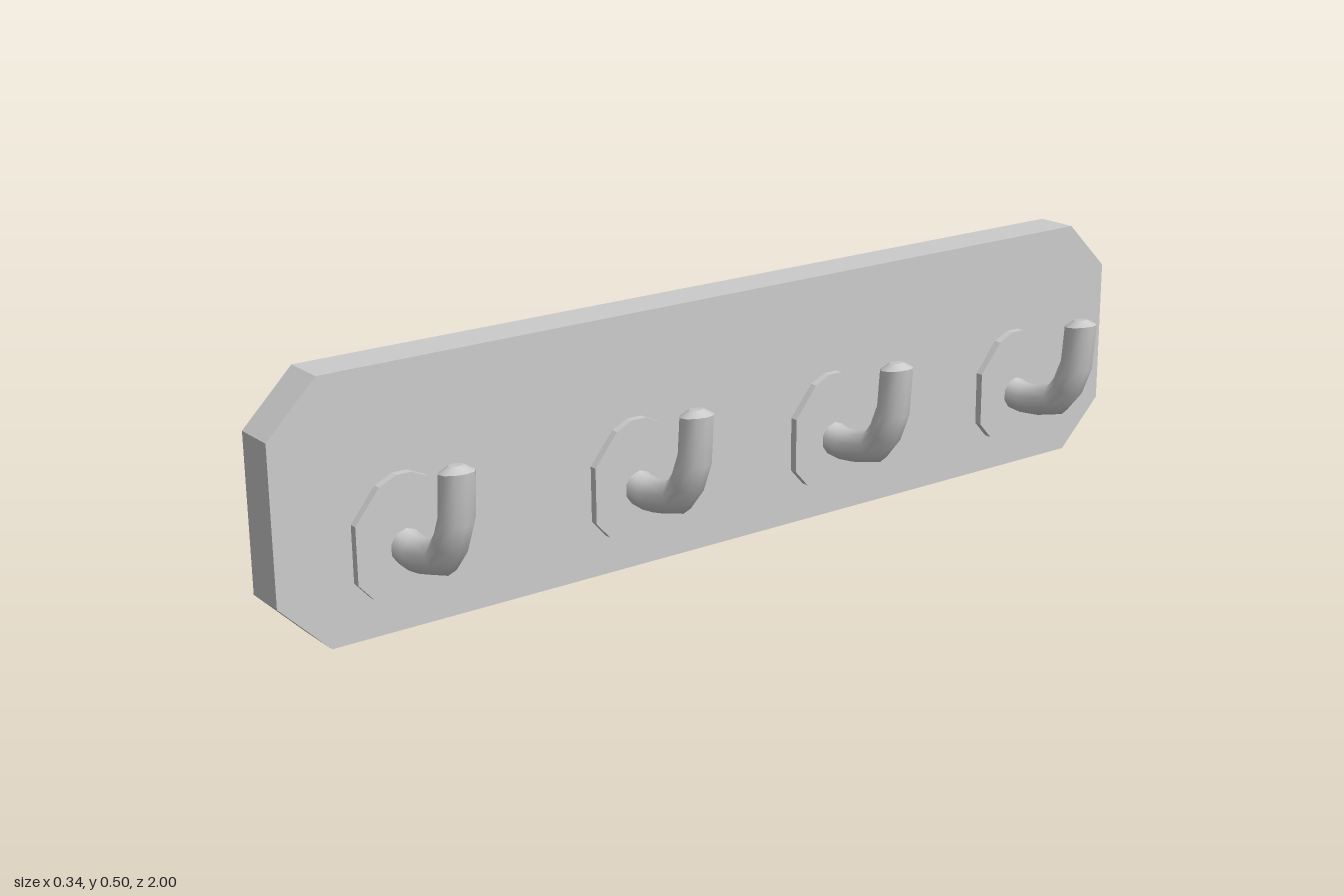
import * as THREE from 'three';

const material = new THREE.MeshStandardMaterial({ color: 0xcccccc });
const SIDES = 10;
const RADIUS = 0.033;
const END_TILT = 0.137;

// Hook centreline in (x, y), from behind the board out to the raised tip
const hookPath = [
  [-0.122, 0.332], [-0.14, 0.26], [-0.105, 0.195], [-0.07, 0.172], [-0.04, 0.162], [-0.01, 0.16],
  [0.02, 0.164], [0.078, 0.179], [0.11, 0.217], [0.132, 0.268], [0.1395, 0.3535],
].map(([x, y]) => new THREE.Vector2(x, y));

// Flat outline in (z, y), extruded along +x from x0
function slab(name, points, x0, depth) {
  const shape = new THREE.Shape(points.map(([z, y]) => new THREE.Vector2(z, y)));
  const geometry = new THREE.ExtrudeGeometry(shape, { depth, bevelEnabled: false });
  geometry.rotateY(Math.PI / 2).translate(x0, 0, 0);
  const mesh = new THREE.Mesh(geometry, material);
  mesh.name = name;
  return mesh;
}

// Round bar swept along the planar path, one ring per point
function bentRod(path) {
  const positions = [], index = [];
  const last = path.length - 1;
  path.forEach((p, i) => {
    const t = new THREE.Vector2();
    if (i > 0) t.add(p.clone().sub(path[i - 1]).normalize());
    if (i < last) t.add(path[i + 1].clone().sub(p).normalize());
    if (i === last) t.set(-Math.sin(END_TILT), Math.cos(END_TILT));
    t.normalize();
    for (let j = 0; j < SIDES; j++) {
      const a = (j / SIDES) * Math.PI * 2;
      const n = RADIUS * Math.cos(a);
      positions.push(p.x - t.y * n, p.y + t.x * n, RADIUS * Math.sin(a));
      if (i < last) {
        const k = (j + 1) % SIDES;
        const a0 = i * SIDES + j, b0 = i * SIDES + k;
        index.push(a0, b0, b0 + SIDES, a0, b0 + SIDES, a0 + SIDES);
      }
    }
  });
  const geometry = new THREE.BufferGeometry();
  geometry.setAttribute('position', new THREE.Float32BufferAttribute(positions, 3));
  geometry.setIndex(index);
  geometry.computeVertexNormals();
  return geometry;
}

export function createModel() {
  const group = new THREE.Group();
  group.name = 'coatRack';

  // Backboard with cut corners
  group.add(slab('backboard', [
    [-0.9, 0], [0.9, 0], [1, 0.1], [1, 0.402], [0.9, 0.502],
    [-0.9, 0.502], [-1, 0.402], [-1, 0.1],
  ], -0.148, 0.088));

  const rod = bentRod(hookPath);
  const tip = hookPath[hookPath.length - 1];
  const capGeometry = new THREE.CylinderGeometry(0.014, RADIUS, 0.012, SIDES);
  capGeometry.rotateY(Math.PI / 2).translate(0, 0.006, 0);

  // Four hooks, each on its own mounting plate
  for (const z of [0.75, 0.247, -0.233, -0.735]) {
    const unit = new THREE.Group();
    unit.name = 'hookUnit';
    unit.position.z = z;

    unit.add(slab('mountingPlate', [
      [-0.07, 0.078], [0.07, 0.078], [0.1, 0.112], [0.1, 0.222], [0.05, 0.284],
      [0.015, 0.3], [-0.015, 0.3], [-0.05, 0.284], [-0.1, 0.222], [-0.1, 0.112],
    ], -0.06, 0.016));

    const hook = new THREE.Mesh(rod, material);
    hook.name = 'hook';
    unit.add(hook);

    // Shallow domed tip
    const cap = new THREE.Mesh(capGeometry, material);
    cap.name = 'hookTip';
    cap.position.set(tip.x, tip.y, 0);
    cap.rotation.z = END_TILT;
    unit.add(cap);

    group.add(unit);
  }
  return group;
}
